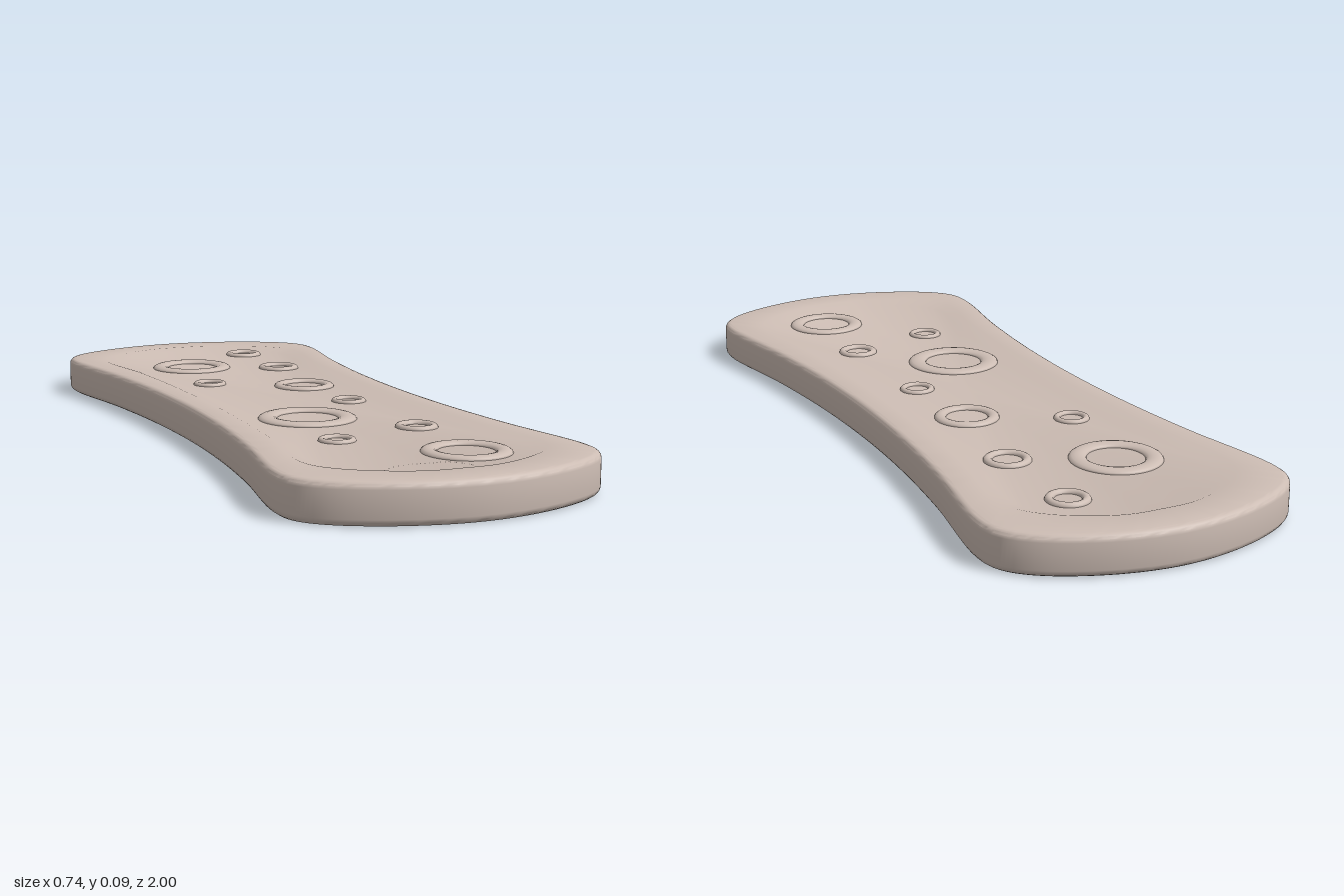
import * as THREE from 'three';
import { toCreasedNormals } from 'three/addons/utils/BufferGeometryUtils.js';

const SEGMENTS = 224;
const TOP = 0.092, FLOOR = 0.083;

// One quarter (x, z) from the waist to the tip, mirrored into a closed smooth outline.
function outline(quarter) {
  const flip = (sx, sz) => quarter.map(([x, z]) => [x * sx, z * sz]);
  const points = [
    ...flip(1, 1),
    ...flip(-1, 1).reverse().slice(1),
    ...flip(-1, -1).slice(1),
    ...flip(1, -1).reverse().slice(1, -1),
  ].map(([x, z]) => new THREE.Vector3(x, 0, z));
  return new THREE.CatmullRomCurve3(points, true, 'centripetal');
}

// A loop of points at height y, moved inward by inset; scale 0 closes it at the centre.
function loop(curve, y, inset = 0, scale = 1) {
  return Array.from({ length: SEGMENTS }, (_, i) => {
    const p = curve.getPoint(i / SEGMENTS);
    const t = curve.getTangent(i / SEGMENTS);
    return new THREE.Vector3((p.x - t.z * inset) * scale, y, (p.z + t.x * inset) * scale);
  });
}

// Skin consecutive loops, running from the bottom centre out, up and back in.
function skin(loops) {
  const positions = [];
  const triangle = (...corners) => corners.forEach((c) => positions.push(c.x, c.y, c.z));
  for (let k = 0; k < loops.length - 1; k++) {
    const a = loops[k], b = loops[k + 1];
    for (let i = 0; i < SEGMENTS; i++) {
      const j = (i + 1) % SEGMENTS;
      if (k > 0) triangle(a[i], b[i], a[j]);
      if (k < loops.length - 2) triangle(a[j], b[i], b[j]);
      if (k === 0) continue;
    }
  }
  const geometry = new THREE.BufferGeometry();
  geometry.setAttribute('position', new THREE.Float32BufferAttribute(positions, 3));
  return toCreasedNormals(geometry, 0.45);
}

export function createModel() {
  const group = new THREE.Group();
  const material = new THREE.MeshStandardMaterial({ color: 0xcdbdb4 });

  const edge = outline([[0.295, 0], [0.303, 0.25], [0.327, 0.5], [0.368, 0.78],
    [0.355, 0.85], [0.3, 0.91], [0.16, 0.975], [0, 1]]);
  const recessTop = outline([[0.235, 0], [0.24, 0.25], [0.256, 0.5], [0.285, 0.7],
    [0.27, 0.77], [0.21, 0.835], [0.09, 0.893], [0, 0.9]]);
  const recessFloor = outline([[0.195, 0], [0.201, 0.25], [0.222, 0.5], [0.25, 0.69],
    [0.24, 0.75], [0.18, 0.82], [0.08, 0.87], [0, 0.877]]);

  // Rounded lower and upper edges of the slab
  const r = 0.016;
  const loops = [loop(edge, 0, 0, 0)];
  for (let i = 0; i <= 4; i++) {
    const a = (i / 4) * Math.PI / 2;
    loops.push(loop(edge, r - r * Math.cos(a), r - r * Math.sin(a)));
  }
  for (let i = 0; i <= 4; i++) {
    const a = (i / 4) * Math.PI / 2;
    loops.push(loop(edge, TOP - r + r * Math.sin(a), r - r * Math.cos(a)));
  }
  // Sunken panel
  loops.push(loop(recessTop, TOP), loop(recessFloor, FLOOR), loop(recessFloor, FLOOR, 0, 0));
  const slab = new THREE.Mesh(skin(loops), material);
  slab.name = 'slab';
  group.add(slab);

  // Raised rings on the panel: x, z, outer radius, inner radius
  const rings = [
    [-0.08, -0.58, 0.107, 0.066], [0.137, -0.75, 0.05, 0.03],
    [0.143, -0.485, 0.055, 0.034], [-0.125, -0.297, 0.043, 0.027],
    [0.095, -0.18, 0.078, 0.05], [0.113, 0.068, 0.043, 0.027],
    [-0.07, 0.242, 0.117, 0.072], [0.122, 0.434, 0.05, 0.03],
    [-0.11, 0.51, 0.043, 0.027], [0.1, 0.722, 0.1, 0.063],
  ];
  for (const [x, z, outer, inner] of rings) {
    const tube = (outer - inner) / 2;
    const geometry = new THREE.TorusGeometry((outer + inner) / 2, tube, 14, 48);
    geometry.rotateX(-Math.PI / 2);
    geometry.scale(1, Math.min(1, 0.009 / tube), 1);
    const ring = new THREE.Mesh(geometry, material);
    ring.position.set(x, FLOOR, z);
    ring.name = 'craterRing';
    group.add(ring);
  }
  return group;
}
